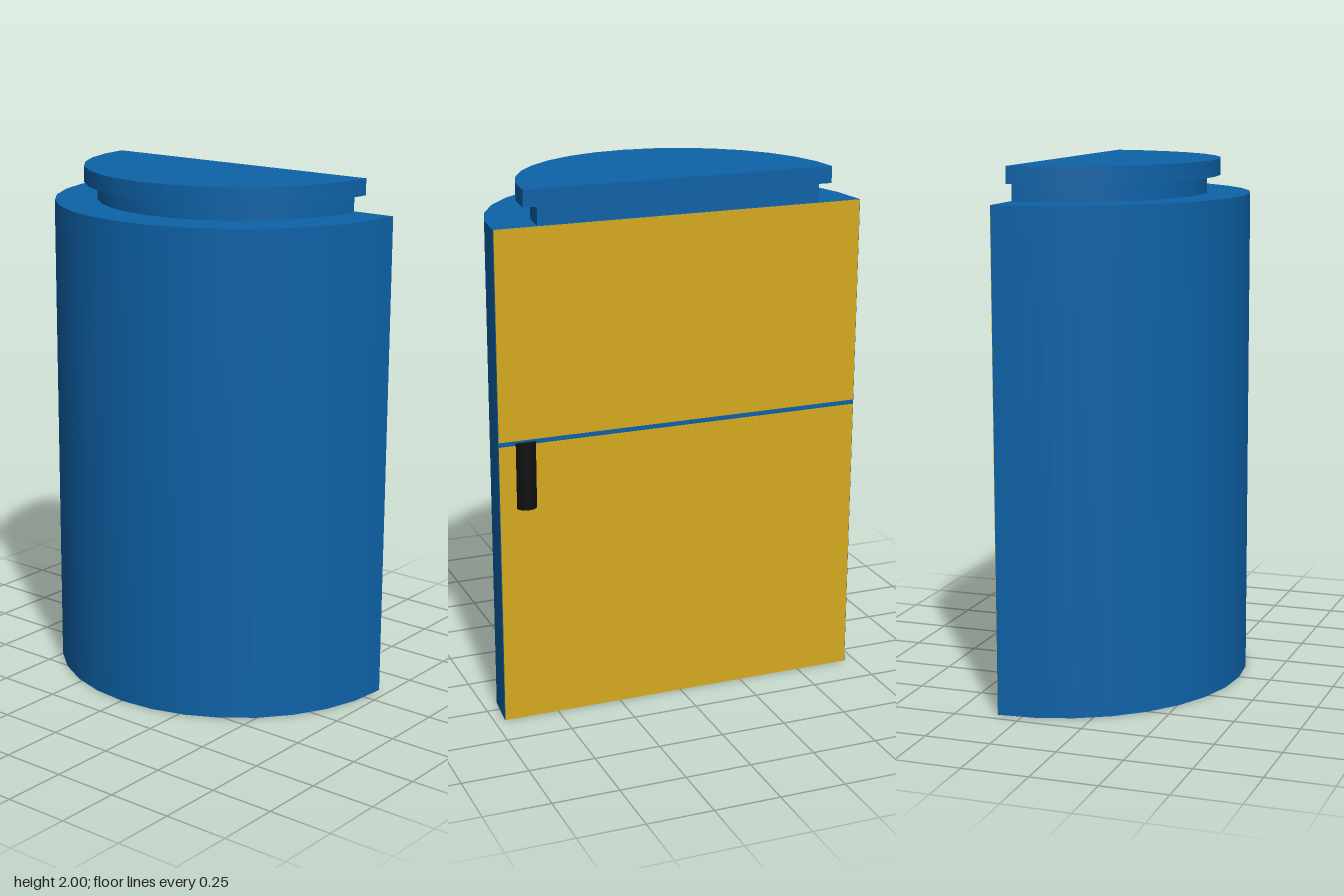
import * as THREE from 'three';
import { toCreasedNormals } from 'three/addons/utils/BufferGeometryUtils.js';

const CENTRE_X = 0.335;
const blue = new THREE.MeshStandardMaterial({ color: 0x0d62a8 });
const yellow = new THREE.MeshStandardMaterial({ color: 0xd5aa1e });
const black = new THREE.MeshStandardMaterial({ color: 0x101010 });

// Half-round solid with its flat side towards +x
function halfRound(name, radius, flatX, y0, y1) {
  const shape = new THREE.Shape();
  shape.moveTo(flatX, -radius);
  shape.lineTo(flatX, radius);
  const n = 16;
  for (let i = flatX > CENTRE_X ? 1 : 0; i <= n; i++) {
    if (i === n && flatX > CENTRE_X) break;
    const a = Math.PI / 2 + (i / n) * Math.PI;
    const x = Math.min(flatX, CENTRE_X + radius * Math.cos(a));
    if (i > 0 && i < n) shape.lineTo(x, radius * Math.sin(a));
  }
  const geo = new THREE.ExtrudeGeometry(shape, { depth: y1 - y0, bevelEnabled: false });
  geo.rotateX(-Math.PI / 2).translate(0, y0, 0);
  const mesh = new THREE.Mesh(toCreasedNormals(geo, 0.5), blue);
  mesh.name = name;
  return mesh;
}

// Thin coloured panel on the flat side
function panel(name, y0, y1) {
  const mesh = new THREE.Mesh(new THREE.BoxGeometry(0.002, y1 - y0, 1.416), yellow);
  mesh.position.set(0.344, (y0 + y1) / 2, 0);
  mesh.name = name;
  return mesh;
}

export function createModel() {
  const model = new THREE.Group();
  model.name = 'halfRoundCabinet';

  // Body, narrower neck and overhanging lid
  model.add(
    halfRound('body', 0.71, 0.343, 0, 1.87),
    halfRound('neck', 0.545, 0.331, 1.87, 1.937),
    halfRound('lid', 0.596, 0.331, 1.937, 2)
  );

  // Door panels, with the body showing through the seam
  model.add(panel('lowerDoor', 0, 1.076), panel('upperDoor', 1.094, 1.87));

  // Upright round handle, half sunk in the door
  const handle = new THREE.Mesh(new THREE.CylinderGeometry(0.04, 0.04, 0.25, 16), black);
  handle.position.set(0.334, 0.96, 0.607);
  handle.name = 'handle';
  model.add(handle);

  return model;
}
